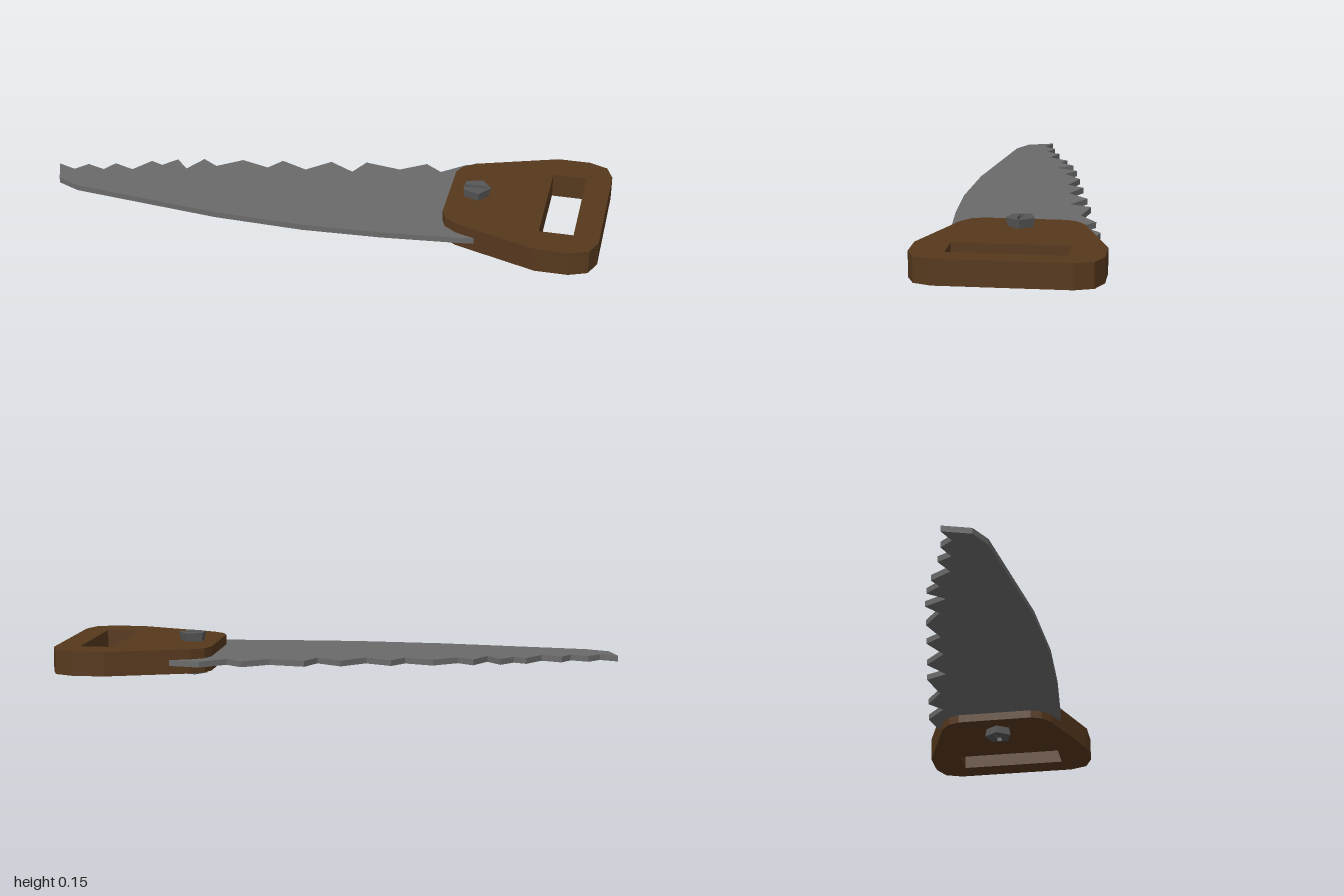
import * as THREE from 'three';

const material = (color) => new THREE.MeshStandardMaterial({ color, flatShading: true });
const toPoints = (list) => list.map(([x, z]) => new THREE.Vector2(x, z));

// Flat plate drawn in (x, z), with its thickness running from yBottom to yTop
function plate(name, shape, yBottom, yTop, mat) {
  const geo = new THREE.ExtrudeGeometry(shape, { depth: yTop - yBottom, bevelEnabled: false });
  geo.rotateX(Math.PI / 2).translate(0, yTop, 0);
  const mesh = new THREE.Mesh(geo, mat);
  mesh.name = name;
  return mesh;
}

// Five-sided flared bolt head with a slot, its base at y = 0
function boltHead(name, mat) {
  const group = new THREE.Group();
  group.name = name;
  const h = 0.031, r = 0.052, slotL = 0.076, slotW = 0.018, slotD = 0.014;

  const sides = new THREE.CylinderGeometry(r, 0.046, h, 5, 1, true);
  sides.rotateY(Math.PI / 2).translate(0, h / 2, 0);

  const cap = new THREE.Shape();
  for (let i = 0; i < 5; i++) {
    const a = (i / 5) * Math.PI * 2;
    cap[i ? 'lineTo' : 'moveTo'](r * Math.cos(a), r * Math.sin(a));
  }
  cap.closePath();
  const x0 = -0.036, x1 = x0 + slotL, w = slotW / 2;
  cap.holes.push(new THREE.Path(toPoints([[x0, -w], [x0, w], [x1, w], [x1, -w]])));
  const top = new THREE.ShapeGeometry(cap).rotateX(-Math.PI / 2).translate(0, h, 0);

  // Inside faces of the slot
  const slot = new THREE.BoxGeometry(slotL, slotD, slotW);
  slot.translate((x0 + x1) / 2, h - slotD / 2, 0);
  const slotMat = mat.clone();
  slotMat.side = THREE.BackSide;

  const add = (partName, geo, m) => {
    const mesh = new THREE.Mesh(geo, m);
    mesh.name = partName;
    group.add(mesh);
  };
  add('boltSides', sides, mat);
  add('boltCap', top, mat);
  add('boltSlot', slot, slotMat);
  return group;
}

export function createModel() {
  const model = new THREE.Group();
  model.name = 'handSaw';
  const wood = material(0x56381d);
  const steel = material(0x6a6a6a);
  const iron = material(0x565656);

  // Blade: uneven teeth along the back edge, curved spine along the front
  const teeth = [
    [-1, 0.07], [-0.935, 0.095], [-0.895, 0.05], [-0.83, 0.073], [-0.8, 0.022], [-0.727, 0.05],
    [-0.675, -0.025], [-0.63, -0.005], [-0.585, -0.058], [-0.535, 0], [-0.49, -0.082], [-0.433, -0.043],
    [-0.348, -0.107], [-0.246, -0.075], [-0.203, -0.135], [-0.107, -0.092], [-0.027, -0.168], [0.064, -0.115],
    [0.1, -0.193], [0.23, -0.17], [0.32, -0.232], [0.38, -0.187], [0.465, -0.26], [0.58, -0.238],
  ];
  const spine = [
    [0.58, 0.235], [0.53, 0.245], [0.245, 0.272], [-0.03, 0.285], [-0.35, 0.272], [-0.885, 0.205], [-0.967, 0.167],
  ];
  model.add(plate('blade', new THREE.Shape(toPoints([...teeth, ...spine])), 0.062, 0.083, steel));

  // Handle: half outline mirrored across z, with a rectangular grip hole
  const half = [
    [0.444, 0.14], [0.46, 0.18], [0.503, 0.213], [0.795, 0.315], [0.91, 0.315], [0.975, 0.288], [1, 0.225],
  ];
  const mirrored = half.map(([x, z]) => [x, -z]).reverse();
  const outline = new THREE.Shape(toPoints([...half, ...mirrored]));
  outline.holes.push(new THREE.Path(toPoints([[0.79, -0.197], [0.91, -0.197], [0.91, 0.197], [0.79, 0.197]])));
  model.add(plate('handle', outline, 0.032, 0.119, wood));

  // Bolt heads on both faces, the lower one turned over
  const upper = boltHead('upperBolt', iron);
  upper.position.set(0.54, 0.119, 0);
  const lower = boltHead('lowerBolt', iron);
  lower.position.set(0.54, 0.031, 0);
  lower.rotation.z = Math.PI;
  model.add(upper, lower);

  return model;
}
